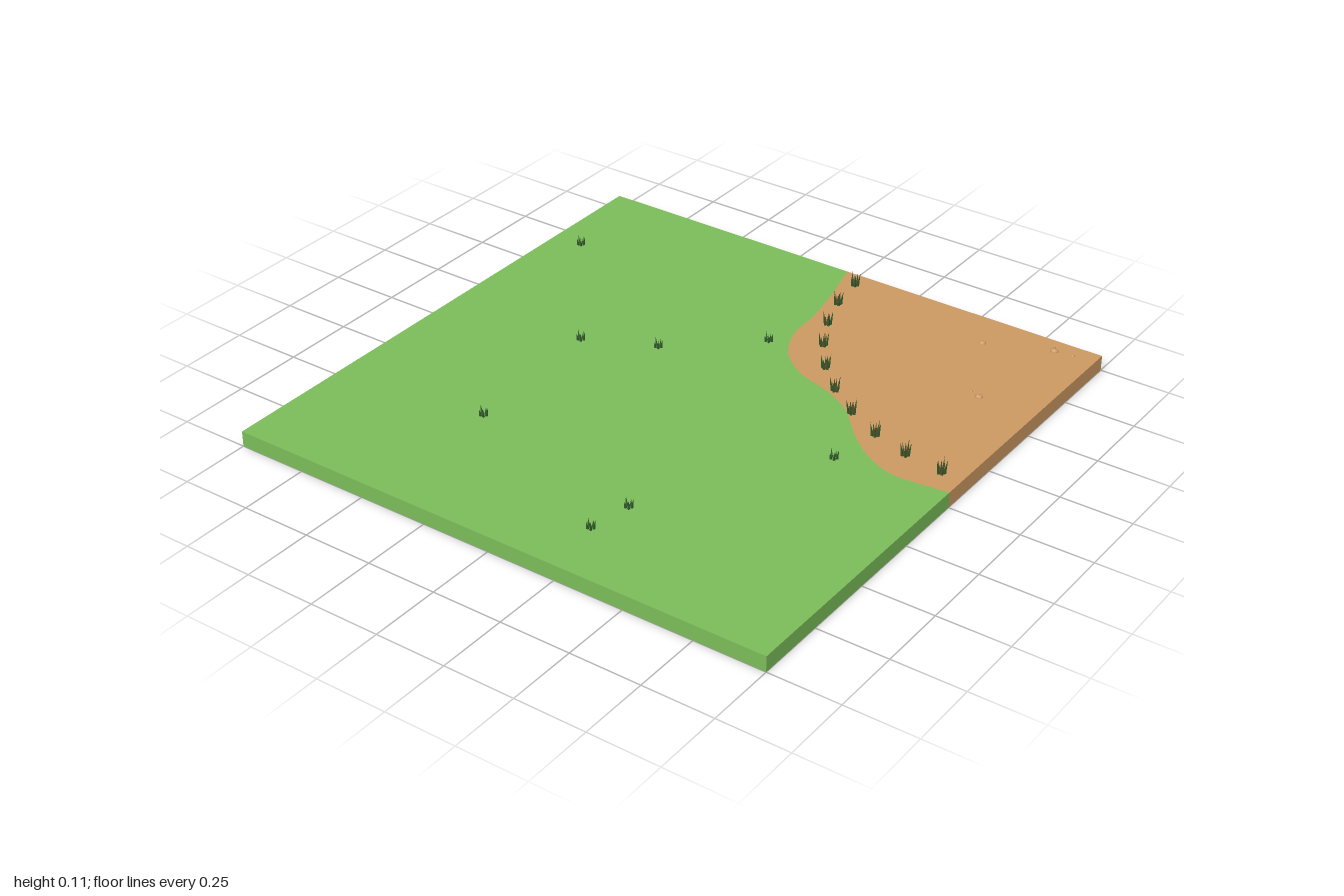
import * as THREE from 'three';
import { mergeGeometries } from 'three/addons/utils/BufferGeometryUtils.js';

const TOP = 0.055;

function mat(name, color) {
  const m = new THREE.MeshStandardMaterial({ color, side: THREE.DoubleSide });
  m.name = name;
  return m;
}

// Flat ground surface bounded by [x, z] points, anticlockwise from above
function surface(points) {
  const shape = new THREE.Shape(points.map(([x, z]) => new THREE.Vector2(x, -z)));
  return new THREE.ShapeGeometry(shape).rotateX(-Math.PI / 2).translate(0, TOP, 0);
}

// Vertical skirt hanging from a run of [x, z] points down to y = 0
function skirt(points) {
  const pos = [];
  for (let i = 0; i < points.length - 1; i++) {
    const [ax, az] = points[i], [bx, bz] = points[i + 1];
    pos.push(ax, 0, az, bx, 0, bz, bx, TOP, bz, ax, 0, az, bx, TOP, bz, ax, TOP, az);
  }
  const g = new THREE.BufferGeometry();
  g.setAttribute('position', new THREE.Float32BufferAttribute(pos, 3));
  g.computeVertexNormals();
  return g;
}

// Ring of pointed blades leaning outwards
function blades(count, ring, height, lean, turn) {
  const parts = [];
  for (let i = 0; i < count; i++) {
    const h = height * (i % 2 ? 0.78 : 1);
    const g = new THREE.ConeGeometry(0.0058, h, 4).toNonIndexed();
    g.computeVertexNormals();
    g.translate(0, h / 2, 0).rotateZ(-lean).translate(ring, 0, 0);
    g.rotateY(turn + (i / count) * Math.PI * 2);
    parts.push(g);
  }
  return mergeGeometries(parts);
}

export function createModel() {
  const model = new THREE.Group();
  const grass = mat('grass green', 0x7abc59);
  const dirt = mat('dirt tan', 0xcb9862);
  const leaf = mat('dark leaf green', 0x2f5a2a);
  const stem = mat('dry stem brown', 0x5c4a26);

  const add = (parent, name, geometry, material) => {
    const mesh = new THREE.Mesh(geometry, material);
    mesh.name = name;
    parent.add(mesh);
    return mesh;
  };

  // Winding border between grass and dirt
  const border = new THREE.CatmullRomCurve3([
    [0, -1], [0.05, -0.8], [0.075, -0.66], [0.085, -0.53], [0.14, -0.41], [0.245, -0.325],
    [0.38, -0.28], [0.485, -0.22], [0.59, -0.11], [0.69, -0.03], [0.8, 0.015], [0.89, 0.012], [1, 0],
  ].map(([x, z]) => new THREE.Vector3(x, 0, z))).getPoints(48).map((p) => [p.x, p.z]);

  // Hollow ground tile, open underneath
  const grassEdge = [[-1, -1], [-1, 1], [1, 1], ...border.slice().reverse()];
  add(model, 'grassGround', surface(grassEdge), grass);
  add(model, 'grassSides', skirt([...grassEdge, [-1, -1]]), grass);
  add(model, 'dirtGround', surface([...border, [1, -1]]), dirt);
  add(model, 'dirtSides', skirt([[1, 0], [1, -1], [0, -1]]), dirt);

  // Tall tufts following the border
  const tallLeaves = blades(5, 0.009, 0.058, 0.16, 0.3);
  const tallStems = blades(3, 0.004, 0.05, 0.12, 0.9);
  [[0.075, -0.93], [0.097, -0.785], [0.143, -0.647], [0.209, -0.519], [0.294, -0.401], [0.396, -0.299],
    [0.514, -0.213], [0.645, -0.145], [0.782, -0.101], [0.925, -0.079]].forEach(([x, z], i) => {
    const tuft = new THREE.Group();
    tuft.name = 'borderTuft';
    add(tuft, 'leaves', tallLeaves, leaf);
    add(tuft, 'stems', tallStems, stem);
    tuft.position.set(x, TOP - 0.006, z);
    tuft.rotation.y = i * 0.15;
    model.add(tuft);
  });

  // Short tufts scattered on the grass
  const shortLeaves = blades(5, 0.009, 0.04, 0.16, 0.3);
  [[-0.885, -0.615], [0.043, -0.438], [-0.235, -0.191], [-0.476, -0.08], [-0.438, 0.481],
    [0.61, 0.043], [0.251, 0.631], [0.225, 0.786]].forEach(([x, z]) => {
    add(model, 'grassTuft', shortLeaves, leaf).position.set(x, TOP - 0.006, z);
  });

  // Pebbles half sunk in the dirt
  const pebble = new THREE.IcosahedronGeometry(1, 1);
  [[0.633, -0.843, 0.014], [0.855, -0.937, 0.015], [0.92, -0.943, 0.008], [0.795, -0.538, 0.014],
    [0.757, -0.553, 0.007], [0.775, -0.535, 0.006]].forEach(([x, z, r]) => {
    const p = add(model, 'pebble', pebble, dirt);
    p.position.set(x, TOP, z);
    p.scale.set(r, r * 0.6, r * 0.8);
  });
  // Tiny sprout beside a pebble
  const sprout = add(model, 'sprout', shortLeaves, leaf);
  sprout.position.set(0.853, TOP - 0.001, -0.942);
  sprout.scale.setScalar(0.3);
  return model;
}
